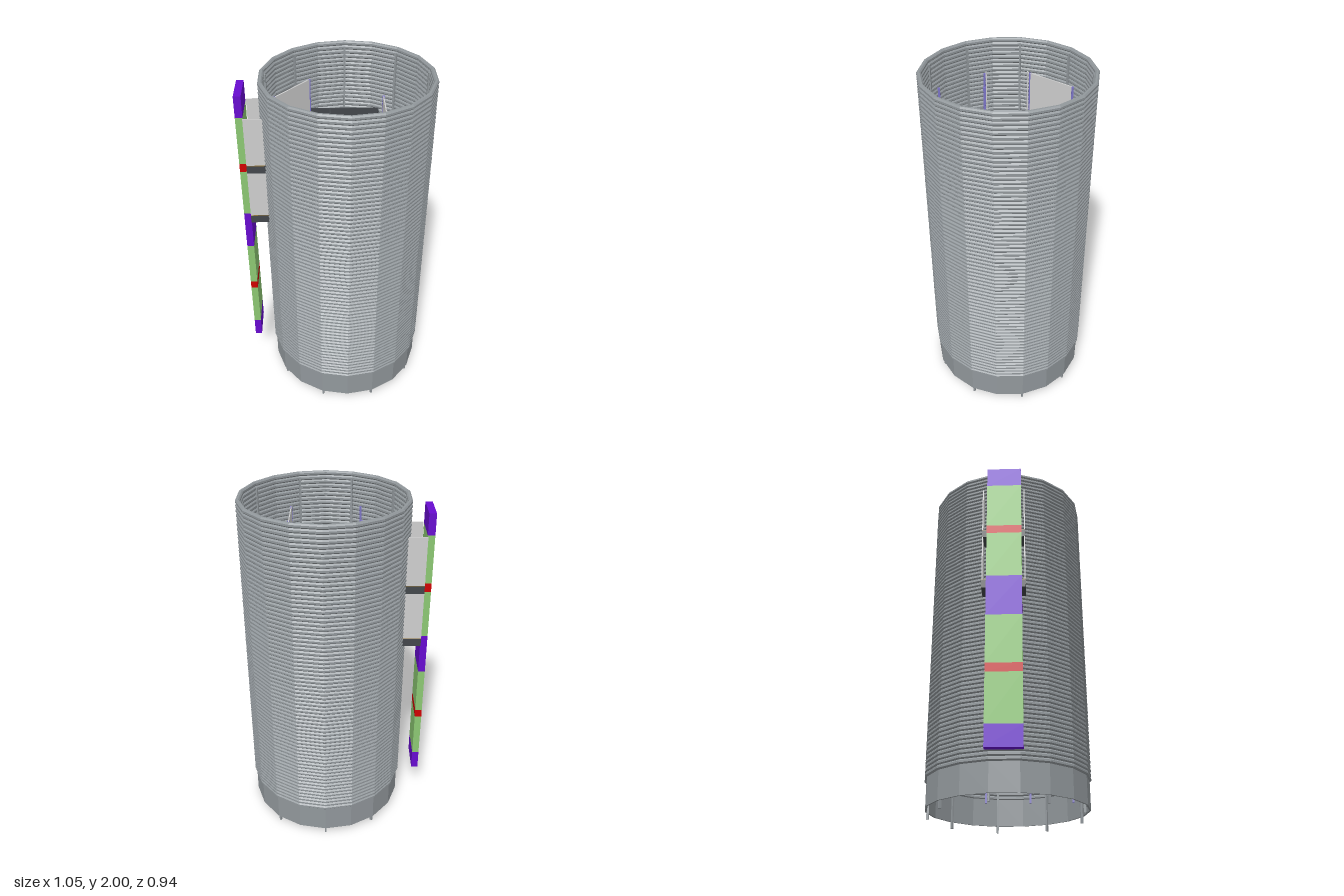
import * as THREE from 'three';

const mat = (name, color, side = THREE.FrontSide) => {
  const m = new THREE.MeshStandardMaterial({ color, side });
  m.name = name;
  return m;
};

export function createModel() {
  const steel = mat('steel grey', 0x92989c);
  const dark = mat('dark frame', 0x43474b);
  const brown = mat('wood brown', 0x96793d);
  const white = mat('panel white', 0xcfcfcf, THREE.DoubleSide);
  const blue = mat('post blue', 0x7a72c4);
  const purple = mat('purple', 0x680bd0);
  const green = mat('green', 0x8cc873);
  const red = mat('red', 0xd00000);

  const model = new THREE.Group();
  model.name = 'tower';
  const CX = 0.06; // axis of the round shell
  const SIDES = 18;

  const add = (name, geo, material, x = 0, y = 0, z = 0, parent = model) => {
    const m = new THREE.Mesh(geo, material);
    m.name = name;
    m.position.set(x, y, z);
    parent.add(m);
    return m;
  };
  // box given by its limits
  const box = (name, material, x0, x1, y0, y1, z0, z1) =>
    add(name, new THREE.BoxGeometry(x1 - x0, y1 - y0, z1 - z0), material,
      (x0 + x1) / 2, (y0 + y1) / 2, (z0 + z1) / 2);
  // faceted solid of revolution
  const ringGeo = (pts) => {
    const g = new THREE.LatheGeometry(pts.map(([r, y]) => new THREE.Vector2(r, y)), SIDES).toNonIndexed();
    g.computeVertexNormals();
    return g;
  };
  // horizontal plate from an outline of [x, z] points
  const plate = (name, material, pts, y0, y1, hole) => {
    const flip = (a) => a.map(([x, z]) => new THREE.Vector2(x, -z));
    const s = new THREE.Shape(flip(pts));
    if (hole) s.holes.push(new THREE.Path(flip(hole)));
    const g = new THREE.ExtrudeGeometry(s, { depth: y1 - y0, bevelEnabled: false });
    g.rotateX(-Math.PI / 2);
    add(name, g, material, 0, y0, 0);
  };

  // Shell: stacked tubular rings
  const shell = new THREE.Group();
  shell.name = 'shellRings';
  model.add(shell);
  const section = [];
  for (let i = 0; i <= 8; i++) {
    const a = (i - 0.5) * Math.PI / 4;
    section.push([0.4575 + 0.0135 * Math.cos(a), 0.0135 * Math.sin(a)]);
  }
  const tube = ringGeo(section);
  const RINGS = 72;
  for (let i = 0; i < RINGS; i++) {
    add('shellRing', tube, steel, CX, 0.2125 + i * (1.775 / (RINGS - 1)), 0, shell);
  }

  // Base wall
  add('baseWall', ringGeo([[0.45, 0.04], [0.46, 0.04], [0.46, 0.205], [0.45, 0.205], [0.45, 0.04]]), steel, CX);

  // Shell posts, standing on the ground
  for (let i = 0; i < 9; i++) {
    const a = i * Math.PI * 2 / 9;
    const p = add('shellPost', new THREE.BoxGeometry(0.011, 1.97, 0.014), steel,
      CX + 0.444 * Math.sin(a), 0.985, -0.444 * Math.cos(a));
    p.rotation.y = -a;
  }

  // Inner posts
  for (const [x, z] of [[-0.145, -0.36], [-0.335, -0.135], [0.265, -0.135], [-0.335, 0.127],
    [-0.145, 0.127], [0.265, 0.127], [-0.145, 0.377], [0.265, 0.377]]) {
    box('innerPost', blue, x - 0.006, x + 0.006, 0.13, 1.81, z - 0.006, z + 0.006);
  }

  // Floors: dark slab with a thin wooden top
  const stairRoom = [[-0.335, -0.145], [0.26, -0.145], [0.26, -0.37], [-0.145, -0.37]];
  const stairWell = [[-0.03, -0.15], [0.14, -0.15], [0.14, -0.362], [-0.03, -0.362]];
  const floor = (top, xStart) => {
    const hall = [[xStart, 0.12], [0.26, 0.12], [0.26, -0.125], [xStart, -0.125]];
    plate('hallSlab', dark, hall, top - 0.05, top - 0.004);
    plate('hallFloor', brown, hall, top - 0.004, top);
    plate('stairRoomSlab', dark, stairRoom, top - 0.05, top - 0.004, stairWell);
    plate('stairRoomFloor', brown, stairRoom, top - 0.004, top, stairWell);
    box('floorStrip', white, -0.335, 0.26, top - 0.05, top - 0.002, -0.144, -0.126);
    box('sideRoomFloor', white, -0.14, 0.26, top - 0.02, top, 0.133, 0.373);
  };
  floor(0.68, -0.335);
  floor(1.2, -0.49);
  floor(1.53, -0.49);

  // Two flights of stairs below the upper floor
  const STEP = 0.17 / 6;
  for (let i = 0; i < 6; i++) {
    const x = -0.03 + i * STEP;
    const yUp = 1.23 + i * 0.024;
    const yBack = 1.51 - i * 0.024;
    box('lowerStep', white, x, x + STEP, yUp - 0.024, yUp, -0.245, -0.15);
    box('upperStep', white, x, x + STEP, yBack - 0.024, yBack, -0.36, -0.262);
  }
  box('halfLanding', brown, 0.14, 0.255, 1.35, 1.365, -0.36, -0.15);

  // Low dark rails round the stair room
  const RY0 = 1.53, RY1 = 1.62;
  box('backRail', dark, -0.145, 0.26, RY0, RY1, -0.374, -0.366);
  box('endRail', dark, 0.252, 0.26, RY0, RY1, -0.37, -0.14);
  box('frontRail', dark, -0.065, 0.26, RY0, RY1, -0.147, -0.138);
  box('wellRail', dark, -0.03, 0.14, 1.4, RY1, -0.261, -0.246);
  box('wellEndRail', dark, -0.031, -0.023, RY0, RY1, -0.37, -0.262);

  // White walls of both dwellings
  const slantLength = Math.hypot(0.19, 0.225);
  for (const [y0, y1] of [[0.68, 0.96], [1.2, 1.48], [1.53, 1.81]]) {
    const h = y1 - y0, y = (y0 + y1) / 2;
    const slant = add('slantWall', new THREE.BoxGeometry(slantLength, h, 0.008), white, -0.24, y, -0.2475);
    slant.rotation.y = Math.atan2(0.225, 0.19);
    box('endWall', white, 0.261, 0.267, y0, y1, -0.135, 0.375);
    if (y0 > 1) {
      for (const z of [-0.122, 0.117]) box('landingWall', white, -0.49, -0.335, y0, y1, z - 0.003, z + 0.003);
    }
  }
  // Dark beam along the foot of the slanted wall
  const beam = add('slantBeam', new THREE.BoxGeometry(slantLength, 0.05, 0.024), dark, -0.235, 1.531, -0.243);
  beam.rotation.y = Math.atan2(0.225, 0.19);

  // Coloured facade strip outside the shell
  const bands = [
    ['serviceBand', purple, 0.23, 0.35], ['windowBand', green, 0.35, 0.63], ['floorBand', red, 0.63, 0.68],
    ['windowBand', green, 0.68, 0.96], ['serviceBand', purple, 0.96, 1.2], ['windowBand', green, 1.2, 1.48],
    ['floorBand', red, 1.48, 1.53], ['windowBand', green, 1.53, 1.81], ['serviceBand', purple, 1.81, 1.93],
  ];
  for (const [name, material, y0, y1] of bands) box(name, material, -0.53, -0.49, y0, y1, -0.097, 0.1);

  return model;
}
